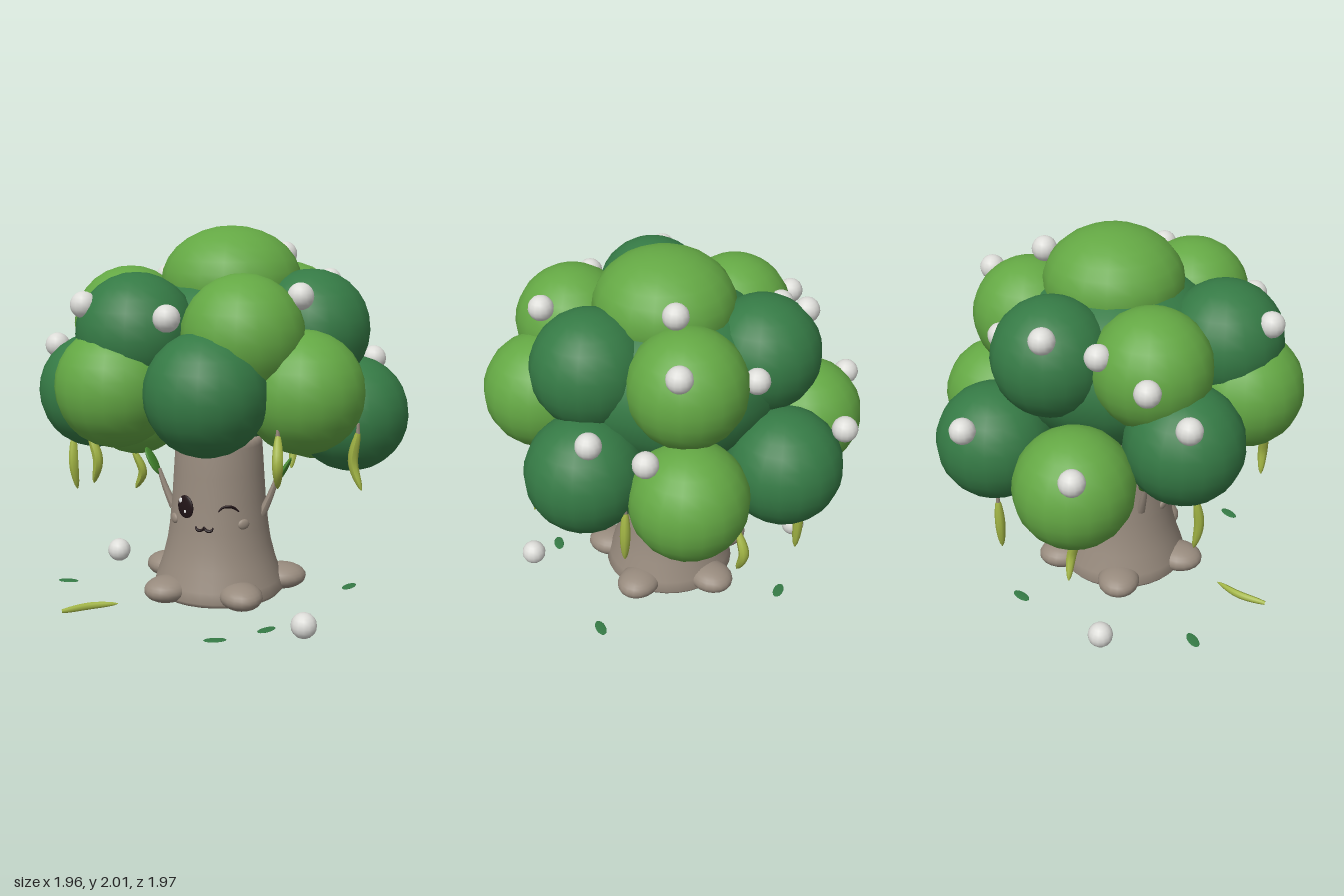
import * as THREE from 'three';

const mat = (name, color, extra = {}) => {
  const m = new THREE.MeshStandardMaterial({ color, ...extra });
  m.name = name;
  return m;
};

export function createModel() {
  const M = {
    light: mat('light foliage', 0x64a844),
    dark: mat('dark foliage', 0x357a45),
    bark: mat('bark', 0x978a7d),
    pod: mat('pod green', 0xa2b545),
    puff: mat('pale puff', 0xdcdcd8),
    leaf: mat('leaf green', 0x45892f),
    ink: mat('eye dark', 0x211417),
    white: mat('eye shine', 0xf4f4f4),
  };
  const root = new THREE.Group();
  root.name = 'tree';
  const add = (name, geo, material, parent = root) => {
    const m = new THREE.Mesh(geo, material);
    m.name = name;
    parent.add(m);
    return m;
  };
  const group = (name) => {
    const g = new THREE.Group();
    g.name = name;
    root.add(g);
    return g;
  };
  const V = (x, y, z) => new THREE.Vector3(x, y, z);

  // Trunk: flared lathe with a closed base
  const CX = -0.02, CZ = 0.035;
  const profile = [[0, 0.02], [0.34, 0.02], [0.36, 0.045], [0.345, 0.1], [0.31, 0.2], [0.285, 0.3],
    [0.27, 0.4], [0.255, 0.55], [0.245, 0.7], [0.235, 0.85], [0.225, 0.893], [0, 0.895]];
  add('trunk', new THREE.LatheGeometry(profile.map(([r, y]) => new THREE.Vector2(r, y)), 32), M.bark)
    .position.set(CX, 0, CZ);

  // Roots: five flattened lobes around the base
  const roots = group('roots');
  const ball = new THREE.SphereGeometry(1, 18, 14);
  for (let i = 0; i < 5; i++) {
    const a = -Math.PI / 2 + i * Math.PI * 2 / 5;
    const r = add('root', ball, M.bark, roots);
    r.position.set(CX + Math.cos(a) * 0.345, 0.083, 0.03 + Math.sin(a) * 0.345);
    r.scale.set(0.135, 0.07, 0.115);
    r.rotation.y = -a;
  }

  // Crown: core, lower ring, middle ring and cap
  const crown = group('crown');
  const blob = (name, material, x, y, z, rx, ry = rx) => {
    const b = add(name, ball, material, crown);
    b.position.set(x, y, z);
    b.scale.set(rx, ry, rx);
  };
  blob('crownCore', M.dark, 0, 1.33, 0, 0.62, 0.46);
  blob('crownCap', M.light, 0.04, 1.71, 0, 0.37, 0.29);
  [
    [M.dark, -0.67, 1.12, 0.17], [M.light, -0.39, 1.23, 0.58], [M.dark, 0.115, 1.235, 0.68],
    [M.light, 0.53, 1.22, 0.42], [M.dark, 0.67, 1.02, -0.1], [M.light, 0.38, 0.955, -0.555],
    [M.dark, -0.16, 0.98, -0.685], [M.light, -0.655, 0.95, -0.385],
  ].forEach(([m, x, y, z]) => blob('lowerLobe', m, x, y, z, 0.308));
  [
    [M.dark, -0.31, 1.485, 0.49], [M.light, 0.245, 1.495, 0.5], [M.dark, 0.485, 1.485, 0.06],
    [M.light, 0.25, 1.48, -0.4], [M.dark, -0.27, 1.48, -0.4], [M.light, -0.51, 1.475, 0.045],
  ].forEach(([m, x, y, z]) => blob('middleLobe', m, x, y, z, 0.307));

  // Pale puffs on the crown and on the ground
  const puffs = group('puffs');
  const puffGeo = new THREE.SphereGeometry(0.067, 14, 10);
  [
    [-0.39, 1.19, -0.88], [-0.9, 1.14, -0.45], [-0.49, 1.68, -0.49], [-0.57, 1.6, -0.24],
    [-0.83, 1.52, 0.07 - 0.14], [-0.92, 1.345, 0.11], [-0.02, 1.5, -0.61], [0.45, 1.675, -0.56],
    [0.59, 1.22, -0.475], [0.25, 1.835, -0.315], [0.76, 1.295, -0.255], [0.51, 1.69, 0.415],
    [-0.525, 1.64, 0.65], [-0.065, 1.6, 0.735], [-0.74, 0.06, -0.28], [0.58, 0.06, 0.55],
  ].forEach((p) => add('puff', puffGeo, M.puff, puffs).position.set(...p));

  // Curved tube whose radius swells in the middle
  const taperedTube = (points, radius, fn, n = 14, sides = 8) => {
    const curve = new THREE.CatmullRomCurve3(points);
    const g = new THREE.TubeGeometry(curve, n, radius, sides);
    const p = g.attributes.position, v = V(0, 0, 0);
    for (let i = 0; i < p.count; i++) {
      const t = Math.floor(i / (sides + 1)) / n, c = curve.getPointAt(t);
      v.fromBufferAttribute(p, i).sub(c).multiplyScalar(fn(t)).add(c);
      p.setXYZ(i, v.x, v.y, v.z);
    }
    g.computeVertexNormals();
    return g;
  };

  // Hanging pods: top, middle and bottom of each
  const pods = group('pods');
  const podShape = (t) => 0.12 + 0.88 * Math.pow(Math.sin(Math.PI * Math.min(1, 0.08 + t * 0.92)), 0.6);
  [
    [[-0.8, 0.86, 0.2], [-0.795, 0.71, 0.22], [-0.785, 0.565, 0.2]],
    [[-0.675, 0.65, -0.375], [-0.63, 0.52, -0.4], [-0.685, 0.405, -0.43]],
    [[-0.5, 1.0, 0.67], [-0.455, 0.87, 0.68], [-0.485, 0.745, 0.665]],
    [[0.47, 1.05, 0.68], [0.485, 0.92, 0.74], [0.475, 0.8, 0.695]],
    [[0.765, 0.98, 0.19], [0.74, 0.82, 0.175], [0.79, 0.68, 0.195]],
    [[0.64, 0.9, -0.375], [0.65, 0.75, -0.38], [0.65, 0.615, -0.375]],
    [[-0.28, 0.67, -0.71], [-0.285, 0.52, -0.705], [-0.28, 0.385, -0.7]],
    [[0.2, 0.76, -0.73], [0.2, 0.64, -0.775], [0.2, 0.52, -0.73]],
    [[-0.69, 0.03, 0.66], [-0.58, 0.03, 0.545], [-0.45, 0.03, 0.47]],
  ].forEach((pts, i) => {
    const p = pts.map((q) => V(...q));
    add(i < 8 ? 'hangingPod' : 'fallenPod', taperedTube(p, i < 8 ? 0.027 : 0.02, podShape), M.pod, pods);
    if (i < 8) {
      const stem = add('podStem', new THREE.CylinderGeometry(0.008, 0.012, 0.06, 6), M.bark, pods);
      stem.position.copy(p[0]).add(V(0, 0.02, 0));
    }
  });

  // Twig arms with a leaf hand on each side
  for (const s of [-1, 1]) {
    const arm = group(s > 0 ? 'leftArm' : 'rightArm');
    arm.position.set(CX, 0, 0.07);
    add('twig', taperedTube([V(s * 0.25, 0.47, 0), V(s * 0.295, 0.57, 0), V(s * 0.335, 0.68, 0)],
      0.025, (t) => 1 - 0.5 * t, 8), M.bark, arm);
    const leaf = add('leafHand', ball, M.leaf, arm);
    leaf.position.set(s * 0.37, 0.72, 0);
    leaf.scale.set(0.014, 0.082, 0.05);
    leaf.rotation.z = -s * 0.5;
  }

  // Face, laid on the trunk surface
  const face = group('face');
  const angleAt = (x, y) => Math.asin((x - CX) / radiusAt(y));
  const radiusAt = (y) => 0.27 - (y - 0.4) * 0.1;
  const onBark = (x, y, lift = 0) => {
    const a = angleAt(x, y), r = radiusAt(y) + lift;
    return V(CX + Math.sin(a) * r, y, CZ + Math.cos(a) * r);
  };
  const spot = (name, x, y, rx, ry, depth, material, lift = 0) => {
    const m = add(name, ball, material, face);
    m.position.copy(onBark(x, y, lift));
    m.scale.set(rx, ry, depth);
    m.rotation.y = angleAt(x, y);
  };
  spot('openEye', -0.135, 0.533, 0.056, 0.064, 0.014, M.ink);
  spot('eyeShine', -0.157, 0.562, 0.016, 0.018, 0.005, M.white, 0.011);
  spot('eyeGlint', -0.128, 0.512, 0.008, 0.009, 0.004, M.white, 0.013);
  spot('rightCheek', -0.215, 0.45, 0.034, 0.028, 0.014, M.bark);
  spot('leftCheek', 0.172, 0.45, 0.034, 0.028, 0.014, M.bark);
  const stroke = (name, pts) => add(name, taperedTube(pts.map(([x, y]) => onBark(x, y, 0.003)),
    0.009, (t) => 0.35 + 0.65 * Math.sin(Math.PI * t), 18, 6), M.ink, face);
  stroke('winkEye', [[0.052, 0.527], [0.072, 0.548], [0.1, 0.553], [0.125, 0.545], [0.148, 0.522]]);
  stroke('mouthRight', [[-0.068, 0.442], [-0.06, 0.426], [-0.043, 0.422], [-0.027, 0.43], [-0.02, 0.445]]);
  stroke('mouthLeft', [[-0.02, 0.445], [-0.013, 0.43], [0.003, 0.422], [0.02, 0.426], [0.028, 0.442]]);

  // Fallen leaves on the ground
  const fallen = group('fallenLeaves');
  [[-0.86, 0.19, 0.1], [0.67, -0.175, 1.2], [0.18, 0.76, 0.4], [0.39, 0.56, 1], [-0.27, -0.61, 0.5]]
    .forEach(([x, z, a]) => {
      const l = add('fallenLeaf', ball, M.dark, fallen);
      l.position.set(x, 0.018, z);
      l.scale.set(0.058, 0.004, 0.028);
      l.rotation.y = a;
    });
  return root;
}
